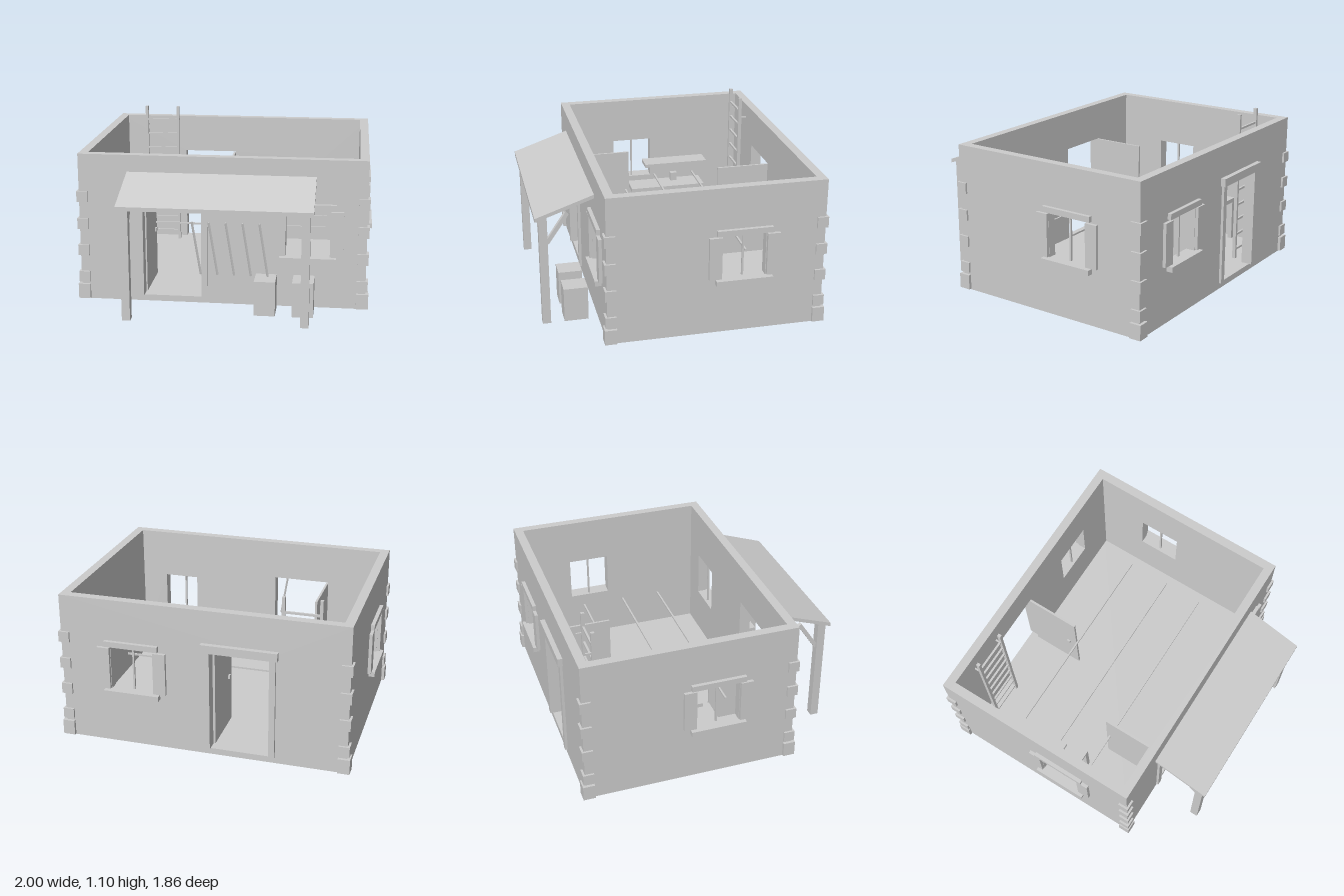
import * as THREE from 'three';

export function createModel() {
  const model = new THREE.Group();
  model.name = 'cottage';
  const grey = new THREE.MeshStandardMaterial({ color: 0xcccccc });
  grey.name = 'plainGrey';

  // Outer wall limits
  const X = 0.955, ZF = 0.535, ZB = -0.89, T = 0.06, FLOOR = 0.045, TOP = 1.01;

  // Box given by its min and max on each axis
  function box(name, x0, x1, y0, y1, z0, z1, parent = model) {
    const mesh = new THREE.Mesh(new THREE.BoxGeometry(x1 - x0, y1 - y0, z1 - z0), grey);
    mesh.position.set((x0 + x1) / 2, (y0 + y1) / 2, (z0 + z1) / 2);
    mesh.name = name;
    parent.add(mesh);
    return mesh;
  }

  // Square bar between two points
  function bar(name, a, b, w, d = w) {
    const p = new THREE.Vector3(...a), q = new THREE.Vector3(...b);
    const mesh = new THREE.Mesh(new THREE.BoxGeometry(w, p.distanceTo(q), d), grey);
    mesh.position.copy(p).add(q).multiplyScalar(0.5);
    mesh.quaternion.setFromUnitVectors(new THREE.Vector3(0, 1, 0), q.sub(p).normalize());
    mesh.name = name;
    model.add(mesh);
    return mesh;
  }

  // Wall from u0 to u1, with an optional doorway notch and a window hole
  function wall(name, u0, u1, door, win) {
    const pts = [[u0, FLOOR]];
    if (door) pts.push([door[0], FLOOR], [door[0], 0.74], [door[1], 0.74], [door[1], FLOOR]);
    pts.push([u1, FLOOR], [u1, TOP], [u0, TOP]);
    const shape = new THREE.Shape(pts.map(p => new THREE.Vector2(...p)));
    const [c, y0, y1] = win, h = 0.145;
    shape.holes.push(new THREE.Path(
      [[c - h, y0], [c - h, y1], [c + h, y1], [c + h, y0]].map(p => new THREE.Vector2(...p))));
    const mesh = new THREE.Mesh(new THREE.ExtrudeGeometry(shape, { depth: T, bevelEnabled: false }), grey);
    mesh.name = name;
    model.add(mesh);
    return mesh;
  }

  // Floor slab and four walls
  box('floorSlab', -X, X, 0.003, FLOOR, ZB, ZF);
  wall('frontWall', -X, X, [-0.525, -0.135], [0.57, 0.355, 0.675]).position.z = ZF - T;
  wall('backWall', -X, X, [-0.445, -0.055], [0.47, 0.388, 0.69]).position.z = ZB;
  const right = wall('leftWall', -(ZF - T), -(ZB + T), null, [0.35, 0.388, 0.69]);
  right.rotation.y = Math.PI / 2;
  right.position.x = X - T;
  const left = wall('rightWall', -(ZF - T), -(ZB + T), null, [0, 0.388, 0.69]);
  left.rotation.y = Math.PI / 2;
  left.position.x = -X;

  // Window trim: outward is the group's +z
  function windowTrim(name, x, z, turn, y0, y1) {
    const g = new THREE.Group();
    g.name = name;
    g.position.set(x, 0, z);
    g.rotation.y = turn;
    model.add(g);
    box('lintel', -0.183, 0.183, y1 + 0.002, y1 + 0.04, -0.01, 0.025, g);
    box('sill', -0.187, 0.187, y0 - 0.035, y0, -0.02, 0.043, g);
    for (const s of [-1, 1]) {
      box('shutter', s * 0.19 - 0.042, s * 0.19 + 0.042, y0 + 0.006, y1 - 0.008, 0, 0.022, g);
    }
    box('mullion', -0.006, 0.006, y0, y1, -0.04, -0.026, g);
  }
  windowTrim('frontWindow', 0.57, ZF, 0, 0.355, 0.675);
  windowTrim('backWindow', 0.47, ZB, Math.PI, 0.388, 0.69);
  windowTrim('leftWindow', X, -0.352, Math.PI / 2, 0.388, 0.69);
  windowTrim('rightWindow', -X, 0, -Math.PI / 2, 0.388, 0.69);

  // Door frames: outward is the group's +z
  function doorFrame(name, x, z, turn) {
    const g = new THREE.Group();
    g.name = name;
    g.position.set(x, 0, z);
    g.rotation.y = turn;
    model.add(g);
    box('doorLintel', -0.25, 0.25, 0.735, 0.79, -0.01, 0.033, g);
    for (const s of [-1, 1]) box('doorJamb', s * 0.215 - 0.02, s * 0.215 + 0.02, FLOOR, 0.735, -0.01, 0.018, g);
  }
  doorFrame('frontDoorFrame', -0.33, ZF, 0);
  doorFrame('backDoorFrame', -0.25, ZB, Math.PI);

  // Door leaves standing open inside
  box('frontDoor', -0.53, -0.515, 0.05, 0.735, 0.1, ZF - T);
  box('frontDoorHandle', -0.515, -0.503, 0.38, 0.405, 0.15, 0.175);
  box('backDoor', -0.07, -0.055, 0.05, 0.735, ZB + T, -0.458);
  box('backDoorHandle', -0.082, -0.07, 0.38, 0.405, -0.535, -0.51);

  // Corner stones, a larger one at each foot
  for (const sx of [-1, 1]) {
    for (const [zc, sz] of [[ZF, 1], [ZB, -1]]) {
      const stone = (y0, y1, out, size) => {
        const xs = [sx * (X + out), sx * (X + out - size)].sort((a, b) => a - b);
        const zs = [zc + sz * out, zc + sz * (out - size)].sort((a, b) => a - b);
        box('cornerStone', xs[0], xs[1], y0, y1, zs[0], zs[1]);
      };
      stone(0.008, 0.11, 0.02, 0.08);
      for (const y of [0.125, 0.312, 0.497, 0.684]) stone(y, y + 0.073, 0.014, 0.073);
    }
  }

  // Porch roof
  const roof = new THREE.Shape([[0.93, 0.742], [0.93, 0.768], [0.547, 0.9], [0.547, 0.875]]
    .map(([z, y]) => new THREE.Vector2(-z, y)));
  const porch = new THREE.Mesh(new THREE.ExtrudeGeometry(roof, { depth: 1.245, bevelEnabled: false }), grey);
  porch.rotation.y = Math.PI / 2;
  porch.position.x = -0.625;
  porch.name = 'porchRoof';
  model.add(porch);

  // Porch posts with braces
  for (const x of [-0.577, 0.572]) {
    box('porchPost', x - 0.027, x + 0.027, 0, 0.765, 0.85, 0.905);
    bar('porchBrace', [x, 0.575, 0.853], [x, 0.77, 0.72], 0.028);
  }

  // Slanted rods under the porch
  for (let i = 0; i < 5; i++) {
    const x = -0.15 + i * 0.107;
    bar('hangingRod', [x, 0.663, 0.85], [x + 0.053, 0.312, 0.831], 0.011);
  }

  // Crates
  for (const x of [0.305, 0.552]) box('crate', x - 0.069, x + 0.069, 0.015, 0.248, 0.603, 0.763);

  // Ladder by the back wall
  for (const x of [-0.733, -0.493]) {
    box('ladderRail', x - 0.01, x + 0.01, FLOOR, 1.1, -0.757, -0.733);
    box('ladderHook', x - 0.005, x + 0.005, 0.945, 0.957, -0.795, -0.757);
  }
  for (let i = 0; i < 9; i++) {
    const y = 0.11 + i * 0.111;
    box('ladderRung', -0.733, -0.493, y - 0.007, y + 0.007, -0.752, -0.738);
  }

  // Long poles across the room
  for (const z of [-0.452, -0.153, 0.125]) box('pole', -0.775, 0.675, 0.428, 0.44, z - 0.006, z + 0.006);

  // Shelf above a bench
  box('shelf', -0.895, -0.757, 0.5, 0.525, -0.565, -0.08);
  box('benchTop', -0.865, -0.69, 0.33, 0.36, -0.53, 0.04);
  for (const x of [-0.85, -0.705]) {
    for (const z of [-0.515, 0.025]) box('benchLeg', x - 0.015, x + 0.015, FLOOR, 0.33, z - 0.015, z + 0.015);
  }
  box('jar', -0.84, -0.8, 0.36, 0.423, -0.34, -0.29);

  return model;
}
